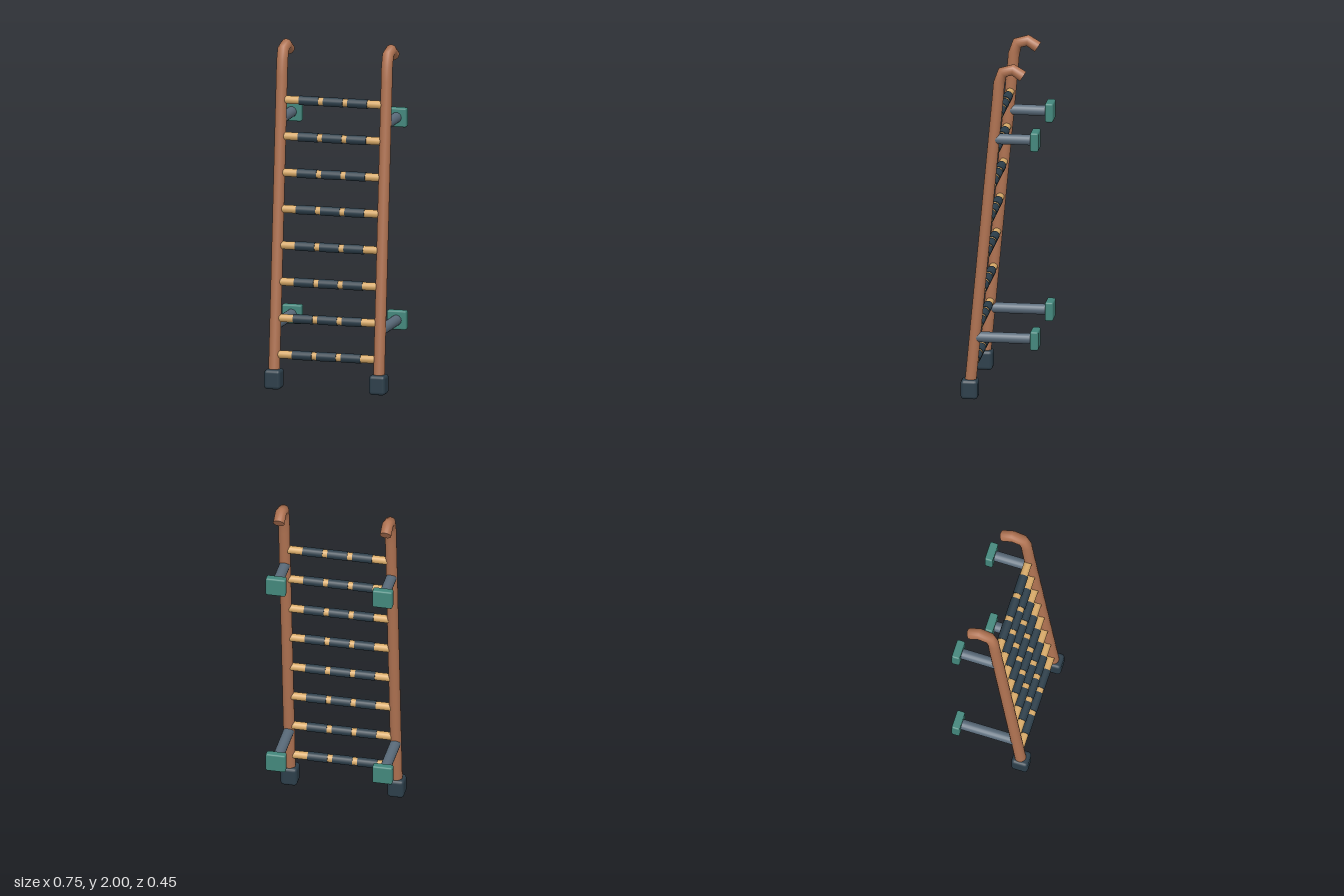
import * as THREE from 'three';
import { RoundedBoxGeometry } from 'three/addons/geometries/RoundedBoxGeometry.js';

const RAIL_X = 0.314, RAIL_R = 0.033;
// depth of the leaning rail centreline at height y
const railZ = (y) => 0.181 - 0.0929 * y;

export function createModel() {
  const material = (name, color) => {
    const m = new THREE.MeshStandardMaterial({ color });
    m.name = name;
    return m;
  };
  const copper = material('copper', 0xb07352);
  const wood = material('wood', 0xd8aa68);
  const rubber = material('dark rubber', 0x2c3e4a);
  const steel = material('steel', 0x5a6b7a);
  const teal = material('teal pad', 0x43877c);

  const model = new THREE.Group();
  model.name = 'ladder';
  const add = (name, geometry, mat, x, y, z) => {
    const mesh = new THREE.Mesh(geometry, mat);
    mesh.name = name;
    mesh.position.set(x, y, z);
    model.add(mesh);
    return mesh;
  };

  // Rail: straight leaning tube that bends back into a short hook
  const path = new THREE.CatmullRomCurve3([
    [0.05, railZ(0.05)], [0.7, railZ(0.7)], [1.4, railZ(1.4)], [1.8, railZ(1.8)],
    [1.885, 0.007], [1.951, -0.014], [1.968, -0.074], [1.931, -0.132],
  ].map(([y, z]) => new THREE.Vector3(0, y, z)));
  path.getPointAt = (u, target) => path.getPoint(u, target);
  path.getTangentAt = (u, target) => path.getTangent(u, target);
  const railGeometry = new THREE.TubeGeometry(path, 7, RAIL_R, 20);
  const hookEnd = path.getPoint(1);
  const hookDirection = path.getTangent(1);

  const footGeometry = new RoundedBoxGeometry(0.098, 0.115, 0.1, 2, 0.02);
  const padGeometry = new RoundedBoxGeometry(0.117, 0.112, 0.048, 2, 0.01);

  for (const [side, x] of [['left', RAIL_X], ['right', -RAIL_X]]) {
    add(side + 'Rail', railGeometry, copper, x, 0, 0);
    const cap = add(side + 'HookCap', new THREE.CircleGeometry(RAIL_R, 20), copper, x, hookEnd.y, hookEnd.z);
    cap.quaternion.setFromUnitVectors(new THREE.Vector3(0, 0, 1), hookDirection);
    add(side + 'Foot', footGeometry, rubber, x, 0.0575, 0.176);

    // Wall standoffs with pads
    for (const [level, y] of [['Lower', 0.366], ['Upper', 1.553]]) {
      const length = railZ(y) + 0.2;
      const arm = new THREE.CylinderGeometry(0.031, 0.031, length, 20).rotateX(Math.PI / 2);
      add(side + level + 'Standoff', arm, steel, x, y, railZ(y) - length / 2);
      add(side + level + 'WallPad', padGeometry, teal, x, y, -0.204);
    }
  }

  // Rungs, each with three grip sleeves
  const rungGeometry = new THREE.CylinderGeometry(0.0235, 0.0235, 2 * RAIL_X, 16).rotateZ(Math.PI / 2);
  const gripGeometry = new THREE.CylinderGeometry(0.0275, 0.0275, 0.117, 16).rotateZ(Math.PI / 2);
  for (let i = 0; i < 8; i++) {
    const y = 0.198 + i * 0.2095, z = railZ(y) - 0.002;
    add('rung' + (i + 1), rungGeometry, wood, 0, y, z);
    for (const x of [-0.146, 0, 0.146]) add('rungGrip' + (i + 1), gripGeometry, rubber, x, y, z);
  }
  return model;
}
